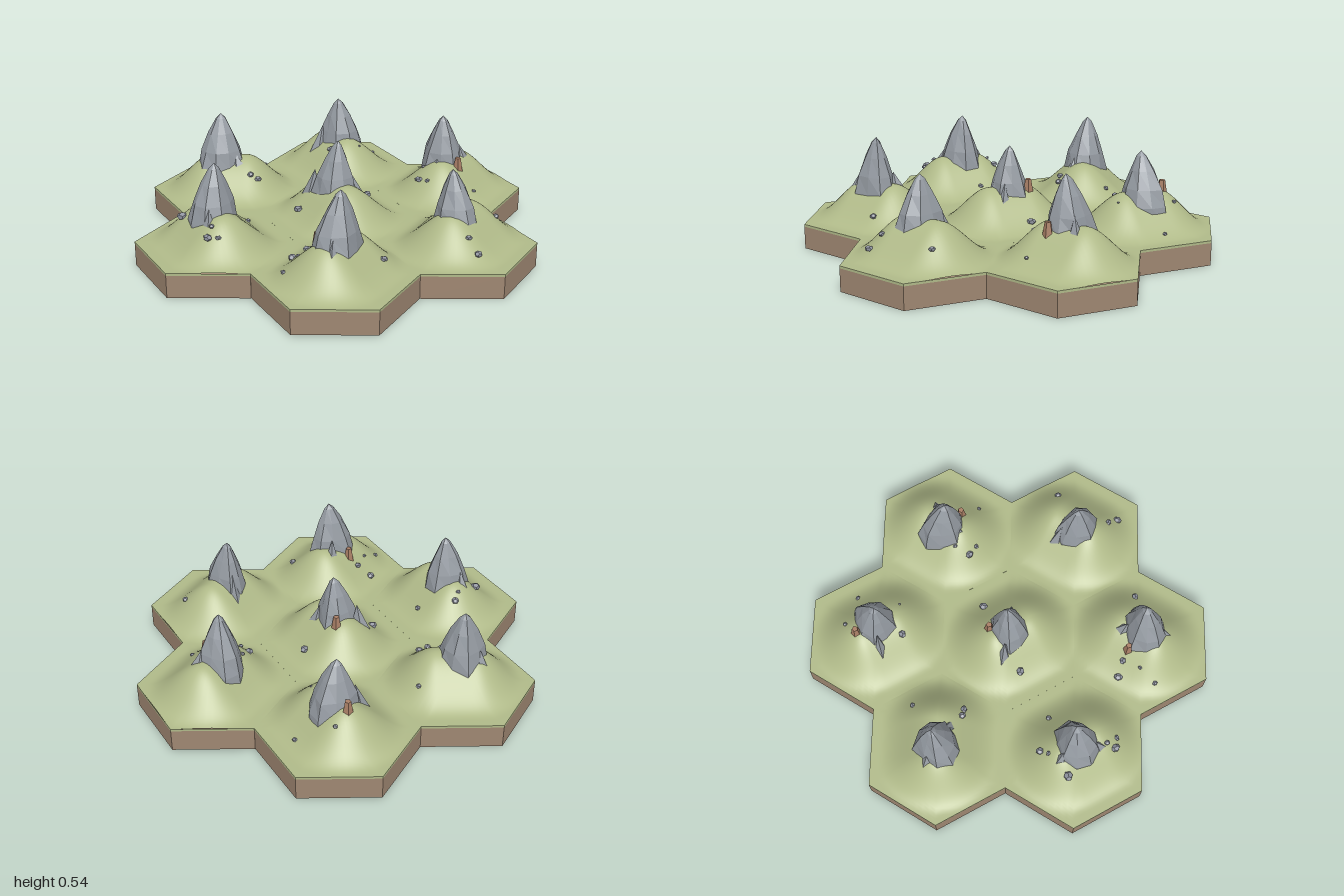
import * as THREE from 'three';

const HEX = 0.385;      // corner radius of a tile, corners point along z
const TOP = 0.125;      // height of the flat ground
const LIP = 0.012;      // visible thickness of the turf

const paint = (name, color) => {
  const m = new THREE.MeshStandardMaterial({ color });
  m.name = name;
  return m;
};

// Each tile: centre, ridge direction, rock centre and radii, summit, spur tips, clay outcrop
const TILES = [
  { c: [0, 0], dir: [0, 1], rock: [-0.01, 0], r: [0.11, 0.1], top: [0.01, 0.515, 0],
    spurs: [[-0.15, -0.13], [0.13, 0.09]], clay: [0.045, -0.085] },
  { c: [-0.667, 0], dir: [0, 1], rock: [-0.675, 0], r: [0.125, 0.11], top: [-0.655, 0.53, 0],
    spurs: [[-0.72, -0.16], [-0.77, 0.15]] },
  { c: [0.667, 0], dir: [0.866, -0.5], rock: [0.65, -0.03], r: [0.11, 0.125], top: [0.64, 0.53, -0.01],
    spurs: [[0.82, 0.01], [0.54, 0.07]], clay: [0.67, 0.09] },
  { c: [-0.333, -0.577], dir: [0.866, 0.5], rock: [-0.355, -0.585], r: [0.125, 0.115], top: [-0.345, 0.535, -0.6],
    spurs: [[-0.43, -0.72], [-0.27, -0.45]] },
  { c: [0.333, -0.577], dir: [0, 1], rock: [0.355, -0.57], r: [0.125, 0.11], top: [0.33, 0.51, -0.56],
    spurs: [[0.16, -0.62]], clay: [0.34, -0.675] },
  { c: [-0.333, 0.577], dir: [0.866, -0.5], rock: [-0.335, 0.585], r: [0.13, 0.105], top: [-0.31, 0.54, 0.585],
    spurs: [[-0.24, 0.44], [-0.44, 0.72]], clay: [-0.37, 0.475] },
  { c: [0.333, 0.577], dir: [0.866, -0.5], rock: [0.315, 0.58], r: [0.1, 0.125], top: [0.305, 0.505, 0.565],
    spurs: [[0.33, 0.4]] },
];

// x, z, radius of every loose stone
const STONES = [
  [-0.1, -0.595, 0.014], [-0.275, -0.41, 0.018], [-0.245, -0.385, 0.018], [0.42, -0.7, 0.012],
  [0.56, -0.575, 0.012], [0.235, -0.475, 0.02], [0.38, -0.415, 0.007], [-0.785, -0.105, 0.025],
  [-0.615, -0.165, 0.02], [-0.65, -0.14, 0.012], [-0.475, -0.035, 0.015], [-0.775, 0.165, 0.022],
  [-0.735, 0.195, 0.014], [-0.74, 0.135, 0.014], [-0.195, -0.04, 0.022], [0.2, -0.035, 0.022],
  [0.47, 0.03, 0.02], [0.49, 0.08, 0.013], [0.53, -0.02, 0.011], [0.695, 0.205, 0.011],
  [-0.45, 0.38, 0.021], [-0.4, 0.43, 0.018], [-0.475, 0.485, 0.01], [-0.57, 0.52, 0.013],
  [-0.13, 0.665, 0.018], [0.545, 0.595, 0.016], [0.28, 0.745, 0.016], [0.29, 0.81, 0.02],
];

// Ground height: one smooth, elongated mound per tile
function groundY(x, z) {
  let y = TOP;
  for (const { c, dir } of TILES) {
    const dx = x - c[0], dz = z - c[1];
    const u = dx * dir[0] + dz * dir[1] - 0.015;
    const v = dx * dir[1] - dz * dir[0];
    const r = Math.hypot(Math.max(0, Math.abs(u) - 0.09) / 0.26, v / 0.29);
    y += 0.182 * (1 - THREE.MathUtils.smoothstep(r, 0, 1));
  }
  return y;
}

// Smooth turf surface filling one hexagon
function turfGeometry([cx, cz]) {
  const rings = 24, seg = 60, pos = [cx, groundY(cx, cz), cz], index = [];
  for (let i = 1; i <= rings; i++) {
    for (let j = 0; j < seg; j++) {
      const a = (j / seg) * Math.PI * 2;
      const off = (a % (Math.PI / 3)) - Math.PI / 6;
      const d = (i / rings) * HEX * Math.cos(Math.PI / 6) / Math.cos(off);
      const x = cx + Math.sin(a) * d, z = cz + Math.cos(a) * d;
      pos.push(x, groundY(x, z), z);
    }
  }
  for (let j = 0; j < seg; j++) {
    const k = (j + 1) % seg;
    index.push(0, 1 + j, 1 + k);
    for (let i = 0; i < rings - 1; i++) {
      const a = 1 + i * seg, b = a + seg;
      index.push(a + j, b + j, b + k, a + j, b + k, a + k);
    }
  }
  const g = new THREE.BufferGeometry();
  g.setAttribute('position', new THREE.Float32BufferAttribute(pos, 3));
  g.setIndex(index);
  g.computeVertexNormals();
  return g;
}

// Separate every face so the rock looks chiselled
function faceted(geometry) {
  const g = geometry.index ? geometry.toNonIndexed() : geometry;
  g.computeVertexNormals();
  return g;
}

// Craggy cone: a nine-sided lathe with uneven ribs, leaning to its summit
function peakGeometry({ rock, r, top }, seed) {
  const profile = [[1.04, 0], [0.97, 0.24], [0.8, 0.48], [0.5, 0.73], [0.2, 0.93], [0.001, 1]];
  const sides = 9, rows = profile.length;
  const g = new THREE.LatheGeometry(profile.map(([x, y]) => new THREE.Vector2(x, y)), sides);
  const p = g.attributes.position, foot = 0.17;
  for (let i = 0; i < p.count; i++) {
    const rib = Math.floor(i / rows) % sides, row = i % rows;
    const k = 1 + 0.09 * Math.sin(rib * 2.4 + seed * 1.7) + 0.04 * Math.sin(rib * 4.1 + row * 2 + seed);
    const t = p.getY(i), lean = t * t;
    p.setXYZ(i,
      THREE.MathUtils.lerp(rock[0], top[0], lean) + p.getX(i) * r[0] * k,
      THREE.MathUtils.lerp(foot, top[1], t),
      THREE.MathUtils.lerp(rock[1], top[2], lean) + p.getZ(i) * r[1] * k);
  }
  return faceted(g);
}

// Buttress: a stretched five-sided cone leaning back into the peak
function spurGeometry(rock, tip, apexY, width) {
  const dx = tip[0] - rock[0], dz = tip[1] - rock[1], len = Math.hypot(dx, dz);
  const foot = groundY(tip[0], tip[1]) - 0.025;
  const g = new THREE.ConeGeometry(1, 1, 5, 2);
  const p = g.attributes.position;
  for (let i = 0; i < p.count; i++) {
    const t = p.getY(i) + 0.5;
    const out = len * (0.62 - 0.1 * t) + p.getZ(i) * len * 0.38;
    const side = p.getX(i) * width;
    p.setXYZ(i,
      rock[0] + (dx * out + dz * side) / len,
      foot + t * (apexY - foot),
      rock[1] + (dz * out - dx * side) / len);
  }
  return faceted(g);
}

export function createModel() {
  const model = new THREE.Group();
  model.name = 'mountainTiles';
  const grass = paint('grass', 0xb0ba89);
  const earth = paint('earth', 0x9f8772);
  const stone = paint('greyRock', 0x949aa1);
  const pebble = paint('looseStone', 0x8d919d);
  const clay = paint('clay', 0xa97f66);

  const add = (parent, name, geometry, material) => {
    const mesh = new THREE.Mesh(geometry, material);
    mesh.name = name;
    parent.add(mesh);
    return mesh;
  };

  TILES.forEach((tile, n) => {
    const group = new THREE.Group();
    group.name = 'tile' + (n + 1);
    model.add(group);

    // Earth block, turf edge and mound
    const [cx, cz] = tile.c, bodyH = TOP - LIP;
    add(group, 'earthBlock', faceted(new THREE.CylinderGeometry(HEX, HEX, bodyH, 6)), earth)
      .position.set(cx, bodyH / 2, cz);
    add(group, 'turfEdge', faceted(new THREE.CylinderGeometry(HEX, HEX, LIP, 6, 1, true)), grass)
      .position.set(cx, TOP - LIP / 2, cz);
    add(group, 'mound', turfGeometry(tile.c), grass);

    // Peak with its buttresses
    add(group, 'peak', peakGeometry(tile, n), stone);
    tile.spurs.forEach((tip, i) =>
      add(group, 'spur', spurGeometry(tile.rock, tip, 0.36 - 0.02 * i, 0.042), stone));

    // Clay outcrop at the foot of the peak
    if (tile.clay) {
      const [x, z] = tile.clay;
      const chunk = add(group, 'clayOutcrop', faceted(new THREE.CylinderGeometry(0.015, 0.03, 0.09, 5)), clay);
      chunk.position.set(x, groundY(x, z) + 0.005, z);
      chunk.rotation.y = n;
    }
  });

  // Loose stones resting on the slopes
  const scatter = new THREE.Group();
  scatter.name = 'looseStones';
  model.add(scatter);
  STONES.forEach(([x, z, r], i) => {
    const s = add(scatter, 'looseStone', faceted(new THREE.DodecahedronGeometry(r)), pebble);
    s.position.set(x, groundY(x, z) + r * 0.35, z);
    s.scale.set(1.05, 0.75, 0.9);
    s.rotation.y = i * 1.3;
  });

  return model;
}
